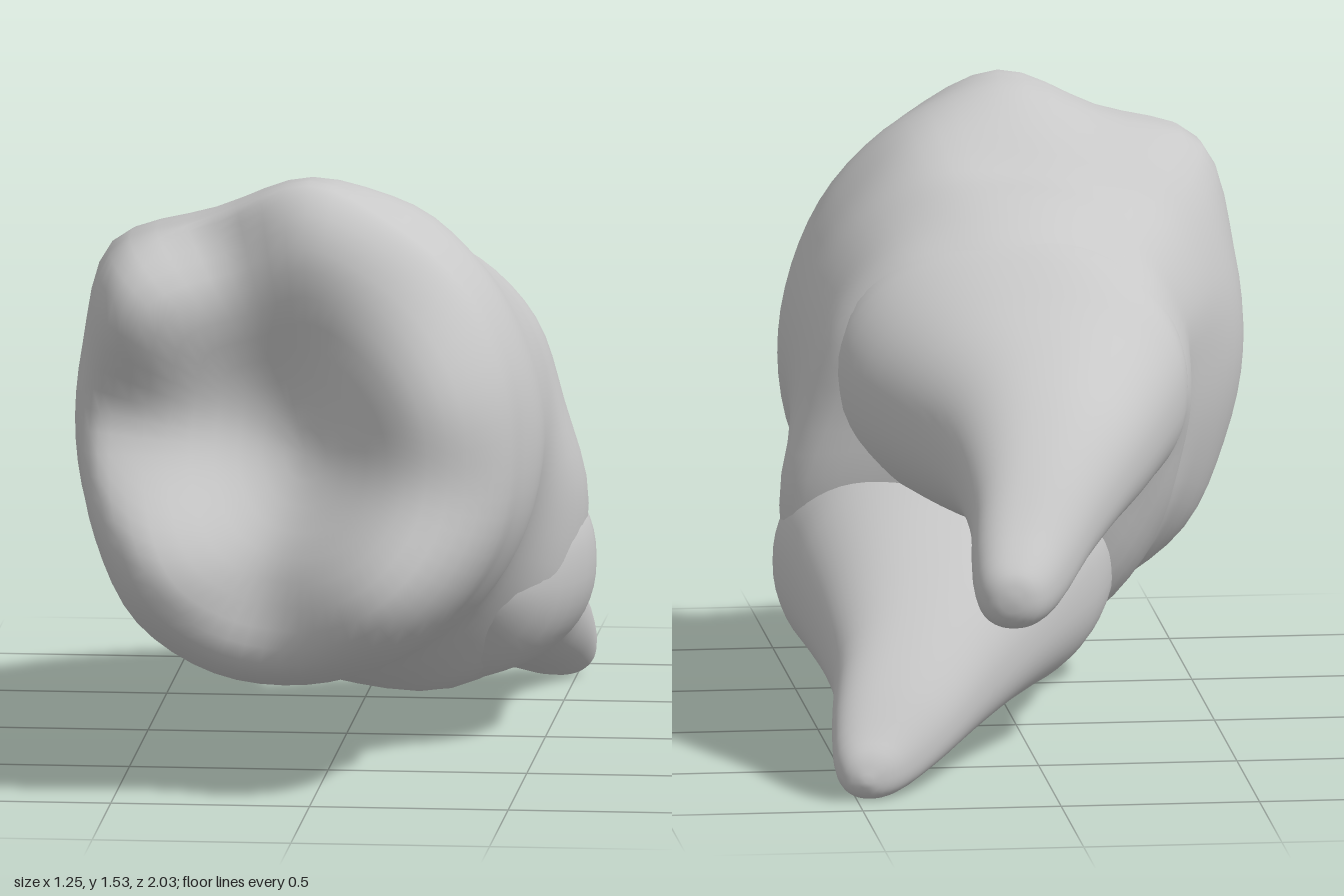
import * as THREE from 'three';
import { mergeVertices } from 'three/addons/utils/BufferGeometryUtils.js';

const SIDES = 64;
const CX = -0.03, CY = 0.85; // axis of the crown

// Skin a list of rings (ordered from +z to -z, same point count) with outward faces
function skin(rings) {
  const pos = [], index = [];
  rings.forEach(r => r.forEach(p => pos.push(p.x, p.y, p.z)));
  for (let i = 0; i < rings.length - 1; i++) {
    for (let j = 0; j < SIDES; j++) {
      const k = (j + 1) % SIDES;
      const a = i * SIDES + j, b = i * SIDES + k;
      index.push(a, a + SIDES, b, b, a + SIDES, b + SIDES);
    }
  }
  const g = new THREE.BufferGeometry();
  g.setAttribute('position', new THREE.Float32BufferAttribute(pos, 3));
  g.setIndex(index);
  const merged = mergeVertices(g, 1e-4);
  merged.computeVertexNormals();
  return merged;
}

// Smoothly interpolate extra rings between the given ones
function refine(rings, steps) {
  const curves = rings[0].map((_, j) => new THREE.CatmullRomCurve3(rings.map(r => r[j])));
  const n = (rings.length - 1) * steps;
  return Array.from({ length: n + 1 }, (_, i) => curves.map(c => c.getPoint(i / n)));
}

// Ring from evenly spaced radii around the crown axis, starting at +x
function radialRing(z, radii) {
  const pts = radii.map((r, k) => {
    const a = k / radii.length * Math.PI * 2;
    return new THREE.Vector3(CX + r * Math.cos(a), CY + r * Math.sin(a), z);
  });
  const curve = new THREE.CatmullRomCurve3(pts, true, 'catmullrom');
  return Array.from({ length: SIDES }, (_, j) => curve.getPoint(j / SIDES));
}

// Slightly squared oval ring filling the given x and y range
function ovalRing([z, x0, x1, y0, y1]) {
  const soft = v => Math.sign(v) * Math.abs(v) ** 0.9;
  return Array.from({ length: SIDES }, (_, j) => {
    const a = j / SIDES * Math.PI * 2;
    return new THREE.Vector3(
      (x0 + x1) / 2 + (x1 - x0) / 2 * soft(Math.cos(a)),
      (y0 + y1) / 2 + (y1 - y0) / 2 * soft(Math.sin(a)), z);
  });
}

// Chewing surface: tilted plane with cusps, a central basin and grooves
const bumps = [ // x, y, height, spread
  [-0.14, 0.90, -0.17, 0.22],
  [0.18, 0.53, 0.12, 0.17],
  [-0.41, 0.63, 0.12, 0.16],
  [0.25, 1.02, 0.10, 0.18],
  [-0.02, 1.42, 0.05, 0.15],
  [-0.48, 1.25, 0.09, 0.15],
  [-0.28, 1.42, -0.09, 0.09],
  [-0.52, 0.92, -0.08, 0.11],
  [-0.14, 0.48, -0.04, 0.09],
  [0.40, 0.78, -0.02, 0.10],
];
function chewingHeight(x, y) {
  let z = 0.88 - 0.19 * (y - 0.85);
  for (const [bx, by, h, s] of bumps) z += h * Math.exp(-((x - bx) ** 2 + (y - by) ** 2) / (2 * s * s));
  return z;
}

export function createModel() {
  const group = new THREE.Group();
  group.name = 'molar';
  const enamel = new THREE.MeshStandardMaterial({ color: 0xc8c8c8 });
  enamel.name = 'tooth grey';
  const add = (name, geometry) => {
    const mesh = new THREE.Mesh(geometry, enamel);
    mesh.name = name;
    group.add(mesh);
  };

  // Crown sides narrowing to the neck and closing between the roots
  const body = refine([
    radialRing(0.68, [.53, .55, .58, .62, .685, .64, .71, .61, .58, .58, .61, .61, .59, .57, .55, .54]),
    radialRing(0.55, [.57, .58, .61, .645, .67, .64, .71, .63, .60, .60, .63, .635, .61, .595, .585, .575]),
    radialRing(0.40, [.57, .575, .59, .62, .60, .59, .64, .60, .58, .58, .62, .63, .62, .61, .59, .57]),
    radialRing(0.25, [.57, .565, .56, .55, .51, .51, .54, .52, .49, .50, .55, .61, .66, .69, .66, .60]),
    radialRing(0.10, [.57, .55, .535, .51, .48, .47, .47, .45, .42, .43, .50, .59, .68, .77, .76, .65]),
    radialRing(-0.10, [.56, .53, .49, .44, .41, .40, .42, .41, .40, .40, .44, .52, .64, .77, .78, .68]),
    radialRing(-0.20, [.43, .42, .40, .36, .33, .33, .36, .37, .36, .31, .30, .35, .45, .63, .66, .55]),
    radialRing(-0.32, Array(16).fill(0.15)),
    radialRing(-0.33, Array(16).fill(0)),
  ], 4);

  // Chewing face: the crown outline shrinks to its middle; the rim is rounder towards +x
  const rim = body[0];
  const face = [0, .1, .2, .3, .4, .5, .6, .7, .78, .85, .9, .94, .97, .99].map(s => rim.map(p => {
    const x = CX + (p.x - CX) * s, y = CY + (p.y - CY) * s;
    const rise = Math.sqrt(1 - s ** (7 - 6 * x));
    return new THREE.Vector3(x, y, p.z + rise * (chewingHeight(x, y) - p.z));
  }));
  add('crown', skin([...face, ...body]));

  // Roots: z, x range, y range; the first rings are buried in the body
  const upper = [
    [0.15, -0.30, 0.40, 0.55, 1.20],
    [0.00, -0.38, 0.46, 0.55, 1.26],
    [-0.10, -0.41, 0.48, 0.55, 1.26],
    [-0.20, -0.41, 0.44, 0.57, 1.20],
    [-0.30, -0.37, 0.37, 0.58, 1.13],
    [-0.45, -0.30, 0.27, 0.58, 1.04],
    [-0.60, -0.22, 0.22, 0.57, 0.95],
    [-0.75, -0.12, 0.20, 0.52, 0.83],
    [-0.88, -0.03, 0.21, 0.45, 0.70],
    [-0.96, 0.03, 0.20, 0.45, 0.62],
    [-0.99, 0.07, 0.17, 0.48, 0.58],
    [-1.00, 0.12, 0.12, 0.53, 0.53],
  ];
  const lower = [
    [0.30, -0.05, 0.42, 0.32, 0.60],
    [0.12, -0.18, 0.55, 0.16, 0.72],
    [-0.05, -0.24, 0.62, 0.13, 0.76],
    [-0.20, -0.20, 0.60, 0.11, 0.73],
    [-0.30, -0.13, 0.58, 0.11, 0.66],
    [-0.45, -0.01, 0.55, 0.10, 0.55],
    [-0.60, 0.12, 0.53, 0.07, 0.42],
    [-0.75, 0.25, 0.55, 0.03, 0.27],
    [-0.84, 0.36, 0.55, 0.00, 0.16],
    [-0.88, 0.42, 0.53, 0.01, 0.11],
    [-0.90, 0.48, 0.48, 0.05, 0.05],
  ];
  add('upperRoot', skin(refine(upper.map(ovalRing), 3)));
  add('lowerRoot', skin(refine(lower.map(ovalRing), 3)));
  return group;
}
